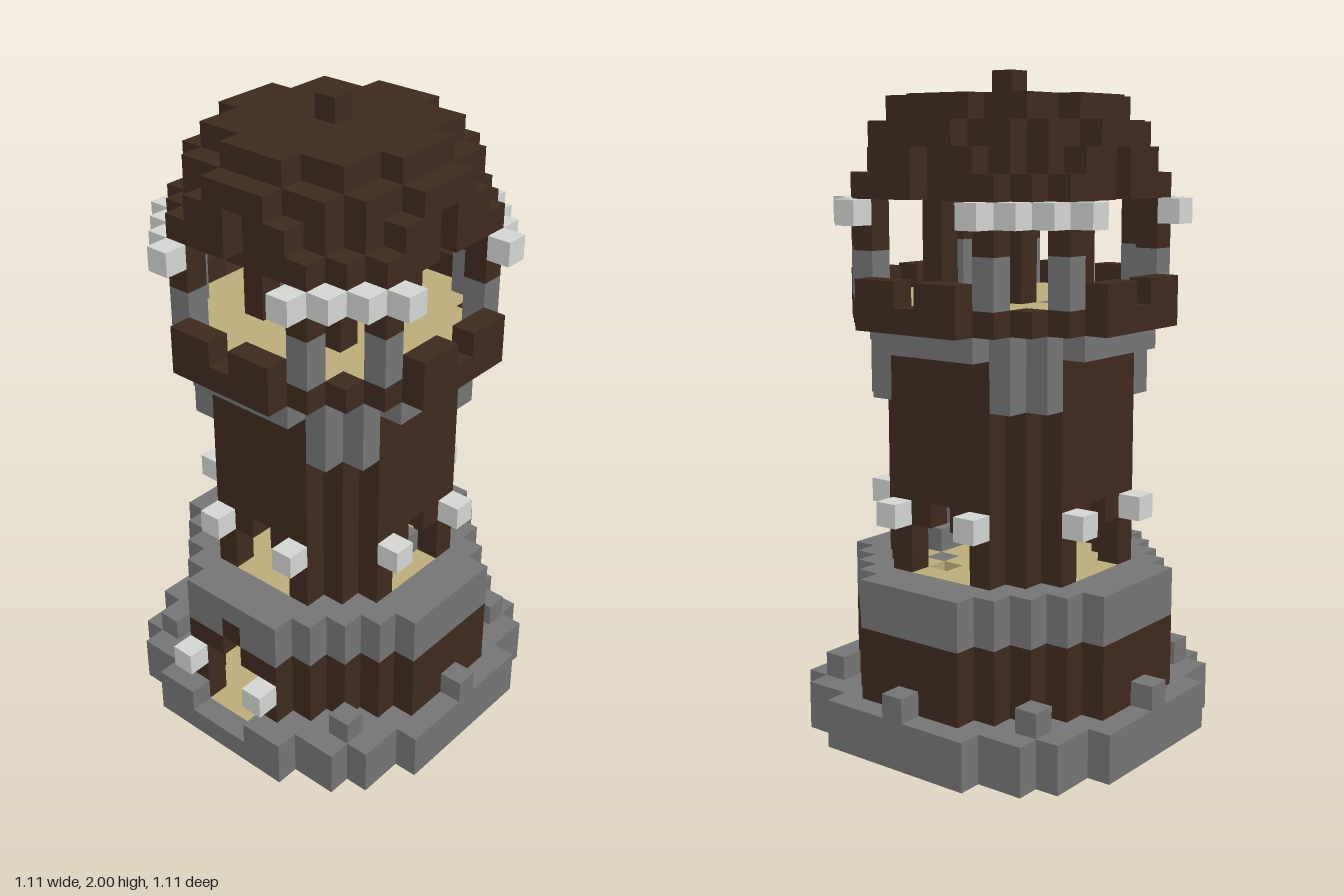
import * as THREE from 'three';

const U = 2 / 27; // edge of one block

const mat = (name, color) => {
  const m = new THREE.MeshStandardMaterial({ color });
  m.name = name;
  return m;
};

export function createModel() {
  const stone = mat('stone', 0x757575), wood = mat('dark wood', 0x3f2a1f);
  const lamp = mat('lamp white', 0xd3d6d3), plank = mat('pale planks', 0xbbac79);

  const parts = {
    foundation: stone, groundFloor: plank, lowerWall: wood, terraceRing: stone,
    middleFloor: plank, shaft: wood, brackets: stone, collar: stone,
    parapet: wood, upperFloor: plank, posts: stone, postCaps: wood, pillars: wood,
    roof: wood, finial: wood, doorLamps: lamp, windowLamps: lamp,
    eaveLamps: lamp, stairs: stone, keystone: wood,
  };

  const blocks = new Map();
  const key = (x, y, z) => `${x},${y},${z}`;
  const put = (part, x, y, z) => blocks.set(key(x, y, z), { part, x, y, z });
  const cut = (x, y, z) => blocks.delete(key(x, y, z));

  // Round layers: blocks with inner < x² + z² <= outer, open along the axes within gap
  const ring = (part, y0, y1, outer, inner = -1, gap = -1) => {
    for (let y = y0; y <= y1; y++)
      for (let x = -7; x <= 7; x++)
        for (let z = -7; z <= 7; z++) {
          const d = x * x + z * z;
          if (d > inner && d <= outer && Math.min(Math.abs(x), Math.abs(z)) > gap) put(part, x, y, z);
        }
  };
  // Eightfold mirrored column of blocks
  const mirrored = (part, x, z, y0, y1 = y0) => {
    for (const sx of [-1, 1]) for (const sz of [-1, 1])
      for (let y = y0; y <= y1; y++) {
        put(part, sx * x, y, sz * z);
        put(part, sx * z, y, sz * x);
      }
  };

  // Foundation and ground floor
  ring('foundation', 0, 0, 61, 29);
  ring('foundation', 1, 1, 61, 40);
  ring('groundFloor', 0, 0, 29);
  put('foundation', 0, 0, 0);
  mirrored('foundation', 5, 5, 2);
  for (const [x, z] of [[7, 0], [-7, 0], [0, -7]]) put('foundation', x, 2, z);

  // Lower wall, terrace and its floor
  ring('lowerWall', 1, 4, 40, 29);
  ring('terraceRing', 5, 5, 40, 29);
  ring('terraceRing', 6, 6, 40, 20);
  ring('middleFloor', 6, 6, 20);

  // Arched front door with keystone and lamps
  for (let x = -1; x <= 1; x++) {
    put('groundFloor', x, 0, 6);
    for (let y = 1; y <= 3; y++) for (const z of [6, 7]) cut(x, y, z);
  }
  cut(0, 4, 6);
  put('keystone', 0, 5, 6);
  for (const x of [-2, 2]) put('doorLamps', x, 3, 7);

  // Shaft with an arched window on each side
  ring('shaft', 7, 15, 20, 13);
  for (const s of [-4, 4]) {
    for (let i = -1; i <= 1; i++)
      for (let y = 7; y <= (i ? 8 : 9); y++) { cut(i, y, s); cut(s, y, i); }
  }
  mirrored('windowLamps', 2, 5, 9);
  mirrored('brackets', 3, 4, 14, 15);

  // Lookout platform and battlements
  ring('collar', 16, 16, 29, 13);
  ring('parapet', 17, 17, 40, 29);
  ring('upperFloor', 17, 17, 29);
  for (const x of [1, 2]) mirrored('parapet', x, 6, 18);
  mirrored('posts', 3, 5, 18, 19);
  mirrored('postCaps', 3, 5, 20);
  mirrored('pillars', 2, 2, 18, 24);

  // Domed roof with open arches, eave lamps and finial
  ring('roof', 21, 21, 34, 29, 2);
  ring('roof', 22, 22, 34, 20, 0);
  ring('roof', 23, 23, 29, 17, 0);
  ring('roof', 24, 24, 26, 10);
  ring('roof', 25, 25, 18);
  put('finial', 0, 26, 0);
  mirrored('eaveLamps', 3, 6, 21);
  mirrored('eaveLamps', 4, 5, 21);

  // Spiral stair following the inside of the shaft
  const spiral = [[0, -3], [1, -3], [2, -2], [3, -1], [3, 0], [3, 1], [2, 2], [1, 3],
    [0, 3], [-1, 3], [-2, 2], [-3, 1], [-3, 0], [-3, -1], [-2, -2], [-1, -3]];
  cut(spiral[1][0], 6, spiral[1][1]);
  for (const i of [11, 12]) cut(spiral[i][0], 17, spiral[i][1]);
  for (let y = 4; y <= 17; y++)
    for (const i of [y - 4, y - 3]) put('stairs', spiral[i][0], y, spiral[i][1]);

  // Visible block faces: normal n, with u x v = n
  const faces = [];
  for (let a = 0; a < 3; a++) for (const s of [-1, 1]) {
    const n = [0, 0, 0], u = [0, 0, 0], v = [0, 0, 0];
    n[a] = s;
    u[(a + 1) % 3] = s;
    v[(a + 2) % 3] = 1;
    faces.push({ n, u, v });
  }
  const corners = [[-1, -1], [1, -1], [1, 1], [-1, -1], [1, 1], [-1, 1]];
  const data = {};
  for (const name in parts) data[name] = { pos: [], nor: [] };
  for (const { part, x, y, z } of blocks.values()) {
    const c = [x, y + 0.5, z];
    for (const { n, u, v } of faces) {
      if (blocks.has(key(x + n[0], y + n[1], z + n[2]))) continue;
      for (const [p, q] of corners) {
        for (let k = 0; k < 3; k++)
          data[part].pos.push((c[k] + (n[k] + p * u[k] + q * v[k]) / 2) * U);
        data[part].nor.push(...n);
      }
    }
  }

  const group = new THREE.Group();
  group.name = 'watchtower';
  for (const name in parts) {
    const g = new THREE.BufferGeometry();
    g.setAttribute('position', new THREE.Float32BufferAttribute(data[name].pos, 3));
    g.setAttribute('normal', new THREE.Float32BufferAttribute(data[name].nor, 3));
    const mesh = new THREE.Mesh(g, parts[name]);
    mesh.name = name;
    group.add(mesh);
  }
  return group;
}
